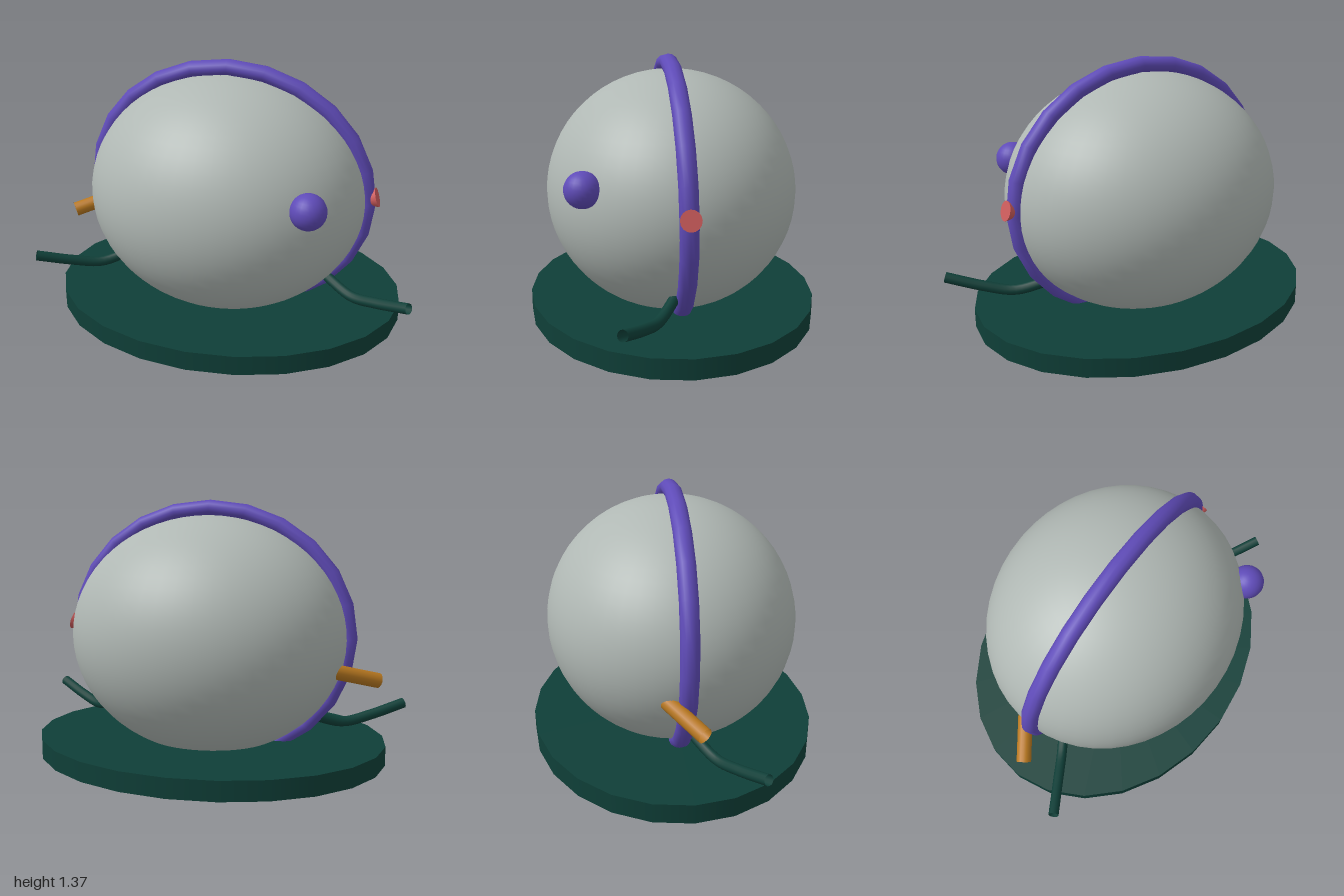
import * as THREE from 'three';

const mat = (name, color, side = THREE.FrontSide) => {
  const m = new THREE.MeshStandardMaterial({ color, side });
  m.name = name;
  return m;
};

export function createModel() {
  const group = new THREE.Group();
  const grey = mat('grey', 0xb0b8b4);
  const green = mat('dark green', 0x0f3f38, THREE.DoubleSide);
  const purple = mat('purple', 0x5f4bb8);
  const red = mat('red', 0xcd5c5c);
  const orange = mat('orange', 0xb87820, THREE.DoubleSide);

  const add = (name, geometry, material, x = 0, y = 0, z = 0) => {
    const mesh = new THREE.Mesh(geometry, material);
    mesh.name = name;
    mesh.position.set(x, y, z);
    group.add(mesh);
    return mesh;
  };

  // Egg-shaped body
  add('body', new THREE.SphereGeometry(1, 48, 32), grey, 0, 0.675, 0).scale.set(0.72, 0.615, 0.64);

  // Oval base plate
  add('base', new THREE.CylinderGeometry(1, 1, 0.1, 24), green, 0, 0.09, 0).scale.set(0.92, 1, 0.738);

  // Band around the body, leaning slightly forward
  const band = add('band', new THREE.TorusGeometry(0.72, 0.045, 12, 24), purple, 0, 0.684, 0);
  band.scale.y = 0.893;
  band.rotation.x = 0.018;

  // Round knob on the front left
  add('knob', new THREE.SphereGeometry(0.087, 24, 16), purple, 0.51, 0.803, 0.463);

  // Flared button on the side of the band
  const button = add('button', new THREE.CylinderGeometry(0.05, 0.02, 0.08, 16), red, 0.732, 0.706, 0);
  button.rotation.z = -1.28;

  // Open spout on the right side
  const spout = new THREE.LineCurve3(
    new THREE.Vector3(-0.62, 0.545, -0.125), new THREE.Vector3(-0.87, 0.468, 0.048));
  add('spout', new THREE.TubeGeometry(spout, 1, 0.038, 16), orange);

  // Mirrored curved arms
  for (const [name, s] of [['leftArm', 1], ['rightArm', -1]]) {
    const path = new THREE.CatmullRomCurve3([
      [0.48, 0.3, 0.01], [0.58, 0.25, 0.07], [0.69, 0.217, 0.138],
      [0.82, 0.243, 0.215], [0.985, 0.295, 0.315],
    ].map(([x, y, z]) => new THREE.Vector3(s * x, y, z)));
    add(name, new THREE.TubeGeometry(path, 20, 0.027, 12), green);
  }
  return group;
}
